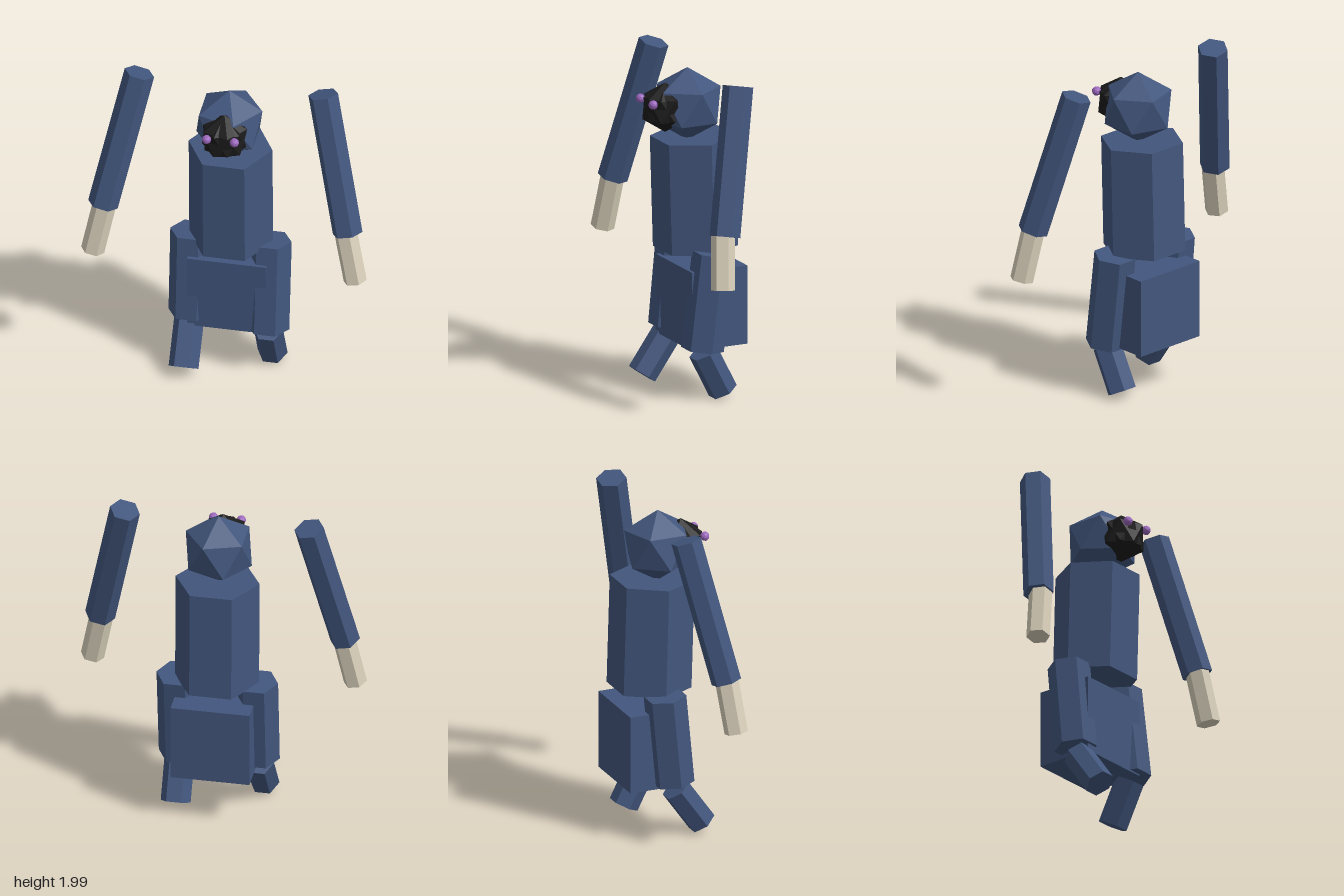
import * as THREE from 'three';
import { ConvexGeometry } from 'three/addons/geometries/ConvexGeometry.js';

const mat = (name, color) => {
  const m = new THREE.MeshStandardMaterial({ color, flatShading: true });
  m.name = name;
  return m;
};

// Twelve-point ball standing on a pole; side = -1 mirrors it in x
function ball(radius, side = 1) {
  const pts = [new THREE.Vector3(0, radius, 0), new THREE.Vector3(0, -radius, 0)];
  const ring = radius * 2 / Math.sqrt(5), h = radius / Math.sqrt(5);
  for (let i = 0; i < 5; i++) {
    const a = i * Math.PI * 2 / 5;
    const x = Math.cos(a) * ring * side, z = Math.sin(a) * ring;
    pts.push(new THREE.Vector3(x, h, z), new THREE.Vector3(-x, -h, z));
  }
  return new ConvexGeometry(pts);
}

export function createModel() {
  const group = new THREE.Group();
  const blue = mat('navy cloth', 0x42567d);
  const bone = mat('pale bone', 0xd9d0bb);
  const black = mat('black face', 0x1b1b1b);
  const purple = mat('purple eyes', 0x9b66bd);

  const add = (name, geometry, material, x, y, z) => {
    const mesh = new THREE.Mesh(geometry, material);
    mesh.name = name;
    mesh.position.set(x, y, z);
    group.add(mesh);
    return mesh;
  };

  // Six-sided bar between two points, with corners pointing sideways
  const hexBar = (name, material, radius, top, bottom) => {
    const a = new THREE.Vector3(...top), b = new THREE.Vector3(...bottom);
    const dir = a.clone().sub(b);
    const g = new THREE.CylinderGeometry(radius, radius, dir.length(), 6, 1, false, Math.PI / 6);
    const mid = a.add(b).multiplyScalar(0.5);
    const mesh = add(name, g, material, mid.x, mid.y, mid.z);
    mesh.quaternion.setFromUnitVectors(new THREE.Vector3(0, 1, 0), dir.normalize());
  };

  // Body
  hexBar('torso', blue, 0.25, [0, 1.538, -0.042], [0, 0.866, -0.062]);
  add('pelvis', new THREE.BoxGeometry(0.47, 0.475, 0.363), blue, 0, 0.5375, -0.101);

  // Head with dark faceted face
  add('head', ball(0.22), blue, 0, 1.735, -0.008);
  add('face', ball(0.15), black, 0, 1.73, 0.138);
  add('faceRidges', ball(0.143, -1), black, 0, 1.73, 0.138);

  // Arms and eyes
  for (const s of [1, -1]) {
    const side = s > 0 ? 'left' : 'right';
    add(side + 'Eye', new THREE.IcosahedronGeometry(0.028, 1), purple, s * 0.083, 1.778, 0.257);
    hexBar(side + 'Sleeve', blue, 0.09, [s * 0.548, 1.967, -0.064], [s * 0.73, 1.12, 0.113]);
    hexBar(side + 'Hand', bone, 0.07, [s * 0.715, 1.15, 0.117], [s * 0.783, 0.813, 0.153]);
  }

  // Legs in mid stride
  hexBar('leftThigh', blue, 0.126, [0.235, 0.879, -0.061], [0.235, 0.302, 0.011]);
  hexBar('rightThigh', blue, 0.126, [-0.238, 0.88, -0.064], [-0.238, 0.334, -0.012]);
  hexBar('leftShin', blue, 0.089, [0.235, 0.287, 0.006], [0.235, 0.037, -0.122]);
  hexBar('rightShin', blue, 0.089, [-0.238, 0.29, 0.004], [-0.238, 0.056, 0.169]);

  return group;
}
